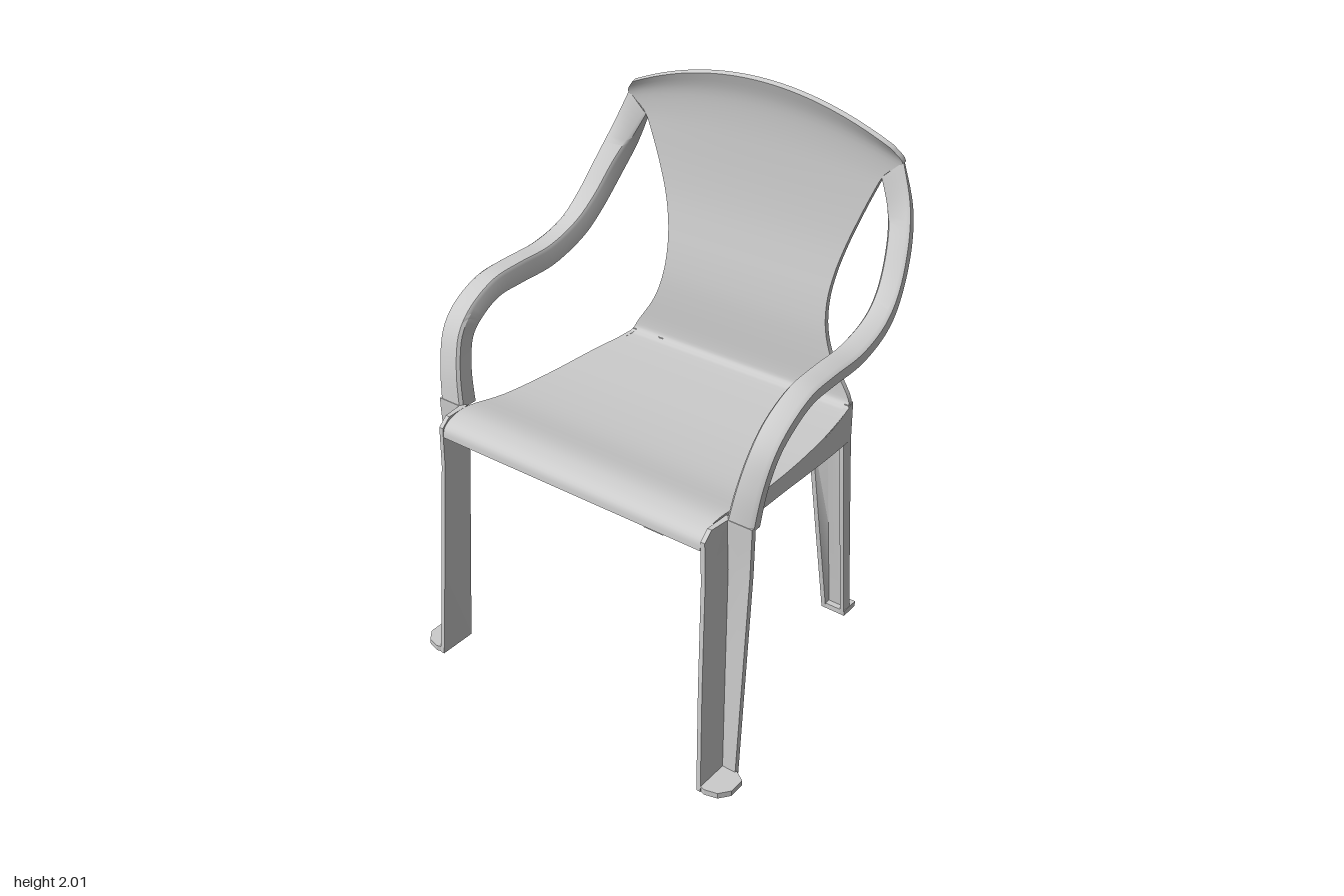
import * as THREE from 'three';
import { toCreasedNormals } from 'three/addons/utils/BufferGeometryUtils.js';

const material = new THREE.MeshStandardMaterial({ color: 0xcccccc, side: THREE.DoubleSide });

// Catmull-Rom interpolation of rows of numbers, column by column
function smooth(rows, sub) {
  const out = [];
  const at = i => rows[Math.min(Math.max(i, 0), rows.length - 1)];
  for (let i = 0; i < rows.length - 1; i++) {
    for (let k = 0; k < sub; k++) {
      const t = k / sub;
      out.push(rows[i].map((b, c) => {
        const a = at(i - 1)[c], d = at(i + 1)[c], e = at(i + 2)[c];
        return b + 0.5 * t * (d - a + t * (2 * a - 5 * b + 4 * d - e + t * (3 * (b - d) + e - a)));
      }));
    }
  }
  out.push(rows[rows.length - 1]);
  return out;
}

// Skin closed rings; each ring runs along one face of a wall and back along the other
function loft(name, rings, crease = 0.7) {
  const n = rings[0].length, pos = rings.flat(2);
  let idx = [];
  for (let r = 0; r < rings.length - 1; r++) {
    for (let i = 0; i < n; i++) {
      const a = r * n + i, b = r * n + (i + 1) % n;
      idx.push(a, b, b + n, a, b + n, a + n);
    }
  }
  const last = (rings.length - 1) * n;
  for (let i = 0; i < n / 2 - 1; i++) {
    const j = n - 1 - i;
    idx.push(i, j, j - 1, i, j - 1, i + 1);
    idx.push(last + i, last + j - 1, last + j, last + i, last + i + 1, last + j - 1);
  }
  // turn the faces outward if the enclosed volume is negative
  const v = i => new THREE.Vector3().fromArray(pos, i * 3);
  let volume = 0;
  for (let i = 0; i < idx.length; i += 3) volume += v(idx[i]).dot(v(idx[i + 1]).cross(v(idx[i + 2])));
  if (volume < 0) idx.reverse();
  const g = new THREE.BufferGeometry();
  g.setAttribute('position', new THREE.Float32BufferAttribute(pos, 3));
  g.setIndex(idx);
  const mesh = new THREE.Mesh(toCreasedNormals(g, crease), material);
  mesh.name = name;
  return mesh;
}

// Seat and backrest: one sheet from the front lip to the arched top
function seatAndBack() {
  // half width, y at the middle, z, arch
  const rows = smooth([
    [0.535, 0.92, 0.52, 0], [0.535, 0.955, 0.512, 0], [0.535, 0.98, 0.47, 0], [0.535, 0.986, 0.39, 0],
    [0.53, 0.953, 0.22, 0], [0.52, 0.938, 0, 0], [0.505, 0.938, -0.22, 0], [0.482, 0.943, -0.39, 0],
    [0.473, 0.953, -0.435, 0], [0.455, 0.99, -0.446, 0], [0.385, 1.1, -0.45, 0], [0.35, 1.2, -0.457, 0],
    [0.34, 1.3, -0.472, 0], [0.35, 1.4, -0.492, 0], [0.375, 1.5, -0.51, 0], [0.41, 1.6, -0.522, 0],
    [0.45, 1.71, -0.53, 0.05], [0.49, 1.828, -0.534, 0.2], [0.555, 1.927, -0.528, 0.3], [0.52, 2, -0.506, 0.425],
  ], 4);
  const across = 24;
  return loft('seatAndBackrest', rows.map(([w, y, z, arch], i) => {
    const p = rows[Math.max(i - 1, 0)], q = rows[Math.min(i + 1, rows.length - 1)];
    const len = Math.hypot(q[1] - p[1], q[2] - p[2]);
    const nz = (q[1] - p[1]) / len, ny = -(q[2] - p[2]) / len;
    const line = t => Array.from({ length: across + 1 }, (_, k) => {
      const x = w * (2 * k / across - 1);
      return [x, y - arch * x * x - ny * t, z - nz * t];
    });
    return [...line(0), ...line(0.02).reverse()];
  }));
}

// Skirt below each side of the seat: half width, top, bottom, z
function skirt(s) {
  const rows = smooth([
    [0.535, 0.984, 0.94, 0.4], [0.532, 0.955, 0.89, 0.27], [0.52, 0.93, 0.865, 0],
    [0.502, 0.932, 0.835, -0.25], [0.473, 0.95, 0.8, -0.455],
  ], 5);
  return loft('seatSkirt', rows.map(([w, top, bottom, z]) => [
    [s * w, top, z], [s * w, bottom, z], [s * (w - 0.018), bottom, z], [s * (w - 0.018), top, z],
  ]));
}

// Armrest: a strap with turned-down edges, from the backrest to the front leg
function arm(s) {
  // inner x, inner y, outer x, outer y, z, then depth of the section in z and y
  const rows = smooth([
    [0.48, 1.77, 0.555, 1.84, -0.53, -0.02, -0.01],
    [0.525, 1.68, 0.605, 1.72, -0.5, -0.045, -0.03],
    [0.56, 1.59, 0.64, 1.61, -0.445, -0.05, -0.05],
    [0.585, 1.48, 0.665, 1.49, -0.365, -0.035, -0.065],
    [0.595, 1.41, 0.675, 1.41, -0.27, -0.03, -0.07],
    [0.595, 1.37, 0.68, 1.37, -0.13, -0.01, -0.075],
    [0.595, 1.366, 0.68, 1.366, 0.03, 0, -0.075],
    [0.595, 1.355, 0.68, 1.355, 0.16, -0.015, -0.07],
    [0.593, 1.3, 0.68, 1.3, 0.28, -0.045, -0.055],
    [0.588, 1.22, 0.675, 1.22, 0.355, -0.06, -0.03],
    [0.57, 1.1, 0.662, 1.1, 0.395, -0.065, -0.01],
    [0.55, 0.975, 0.65, 0.975, 0.412, -0.07, 0],
  ], 5);
  const section = [
    [0, 1], [0, 0.15], [0.1, 0], [0.85, 0], [1, 0.12], [1, 0.6],
    [0.85, 0.6], [0.85, 0.35], [0.75, 0.28], [0.25, 0.28], [0.15, 0.4], [0.15, 1],
  ];
  return loft('armrest', rows.map(([xi, yi, xo, yo, z, dz, dy]) => section.map(([u, v]) => [
    s * (xi + (xo - xi) * u), yi + (yo - yi) * u + dy * v, z + dz * v,
  ])));
}

// Front leg: an angle section, open to the front and outside
function frontLeg(s) {
  // y, outer x, corner x, inner x, z of the rear plate, z of the front edge
  const rows = [
    [0.985, 0.65, 0.56, 0.552, 0.413, 0.485], [0.955, 0.65, 0.56, 0.552, 0.413, 0.52],
    [0.8, 0.646, 0.565, 0.556, 0.41, 0.52], [0.4, 0.643, 0.577, 0.57, 0.43, 0.547],
    [0, 0.64, 0.59, 0.588, 0.45, 0.573],
  ];
  return loft('frontLeg', rows.map(([y, xo, xc, xi, zb, zf]) => [
    [s * xo, y, zb], [s * xc, y, zb], [s * xi, y, zf],
    [s * (xi - 0.016), y, zf], [s * (xc - 0.02), y, zb - 0.02], [s * xo, y, zb - 0.02],
  ]));
}

// Back leg: a shallow channel leaning backwards
function backLeg(s) {
  // y, outer x, plate x, inner x, front z, back z
  const rows = [
    [0.955, 0.472, 0.375, 0.33, -0.435, -0.467], [0.8, 0.472, 0.375, 0.325, -0.42, -0.47],
    [0.4, 0.475, 0.38, 0.352, -0.46, -0.505], [0, 0.478, 0.386, 0.38, -0.5, -0.542],
  ];
  return loft('backLeg', rows.map(([y, xo, xp, xi, zf, zb]) => [
    [s * xo, y, zf], [s * xo, y, zb], [s * xp, y, zb], [s * xi, y, zf],
    [s * (xi + 0.018), y, zf], [s * (xp + 0.012), y, zb + 0.016],
    [s * (xo - 0.016), y, zb + 0.016], [s * (xo - 0.016), y, zf],
  ]));
}

// Flat foot pad from an outline in x and z
function foot(name, s, outline) {
  const pts = outline.map(([x, z]) => new THREE.Vector2(s * x, -z));
  const g = new THREE.ExtrudeGeometry(new THREE.Shape(pts), { depth: 0.022, bevelEnabled: false });
  g.rotateX(-Math.PI / 2);
  const mesh = new THREE.Mesh(g, material);
  mesh.name = name;
  return mesh;
}

export function createModel() {
  const chair = new THREE.Group();
  chair.name = 'armchair';
  chair.add(seatAndBack());
  for (const s of [1, -1]) {
    chair.add(skirt(s), arm(s), frontLeg(s), backLeg(s));
    chair.add(foot('frontFoot', s, [
      [0.573, 0.435], [0.64, 0.44], [0.68, 0.465], [0.68, 0.525], [0.65, 0.563], [0.605, 0.575], [0.573, 0.565],
    ]));
    chair.add(foot('backFoot', s, [[0.38, -0.5], [0.48, -0.5], [0.48, -0.577], [0.376, -0.577]]));
  }
  return chair;
}
